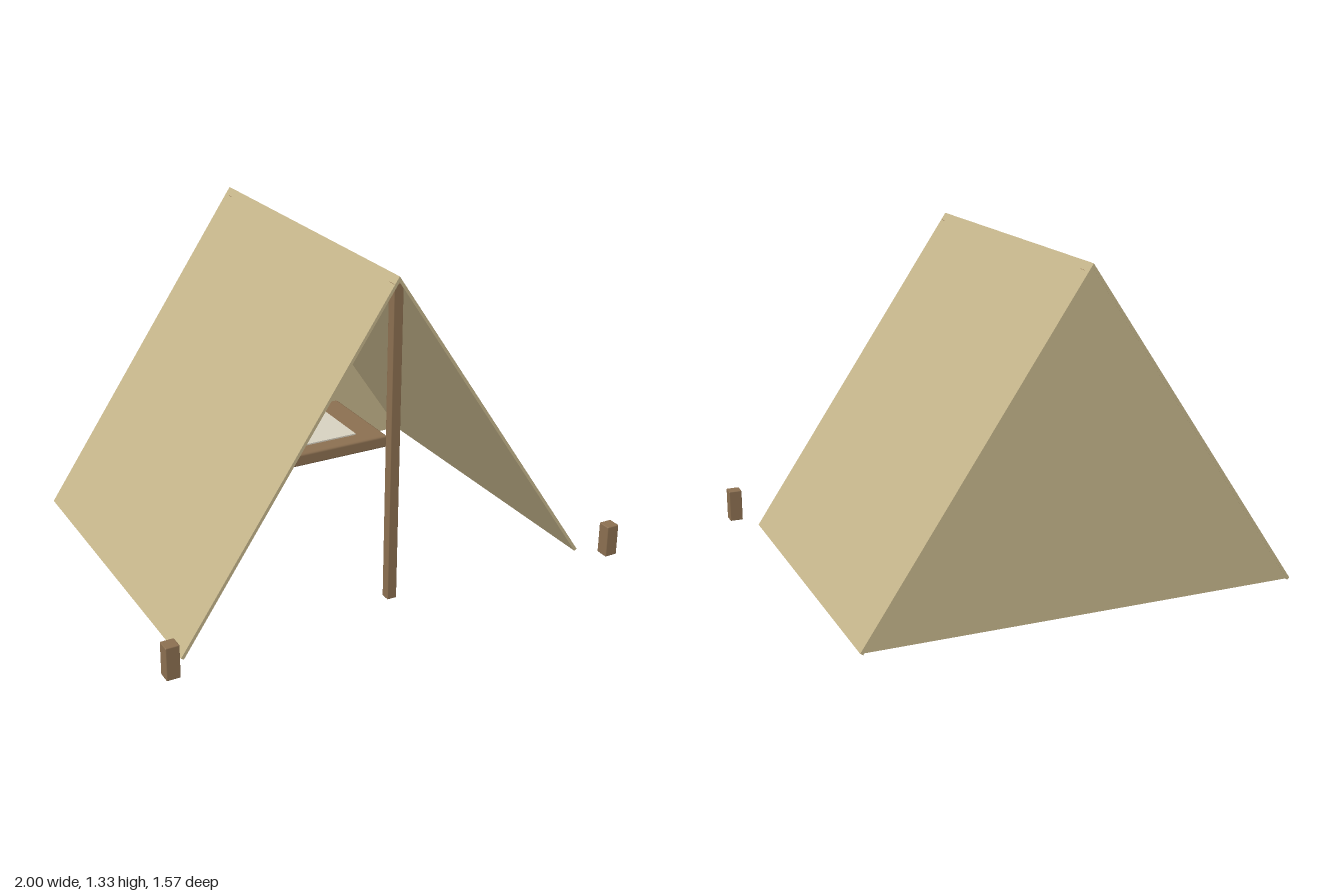
import * as THREE from 'three';
import { RoundedBoxGeometry } from 'three/addons/geometries/RoundedBoxGeometry.js';

const FRONT = 0.66, BACK = -0.785;

const canvas = new THREE.MeshStandardMaterial({ color: 0xc4b48a, side: THREE.DoubleSide });
const wood = new THREE.MeshStandardMaterial({ color: 0x8b6f50 });
const paper = new THREE.MeshStandardMaterial({ color: 0xd6d0c0 });

export function createModel() {
  const group = new THREE.Group();

  const add = (name, geometry, material, x = 0, y = 0, z = 0) => {
    const mesh = new THREE.Mesh(geometry, material);
    mesh.name = name;
    mesh.position.set(x, y, z);
    group.add(mesh);
  };

  // Extrudes an outline in the xy plane between two z values
  const sheet = (name, points, z0, z1) => {
    const shape = new THREE.Shape(points.map(([x, y]) => new THREE.Vector2(x, y)));
    add(name, new THREE.ExtrudeGeometry(shape, { depth: z1 - z0, bevelEnabled: false }), canvas, 0, 0, z0);
  };

  // Block with softened edges, placed by its base height
  const block = (name, w, h, d, bevel, x, y, z) =>
    add(name, new RoundedBoxGeometry(w, h, d, 1, bevel), wood, x, y + h / 2, z);

  // Sloping roof panels and ground stakes, mirrored left and right
  for (const [side, s] of [['left', 1], ['right', -1]]) {
    sheet(side + 'RoofPanel',
      [[0, 1.33], [s * 0.893, 0.007], [s * 0.882, 0], [0, 1.309]], BACK, FRONT);
    block(side + 'Stake', 0.055, 0.135, 0.055, 0.004, s * 0.9725, 0.015, 0.757);
  }

  // Closed triangular back wall
  sheet('backWall', [[-0.884, 0.006], [0.884, 0.006], [0, 1.318]], BACK + 0.001, BACK + 0.012);

  // Upright poles whose top corners just break through the roof
  block('frontPole', 0.04, 1.291, 0.04, 0.003, 0, 0.012, 0.637);
  block('backPole', 0.04, 1.291, 0.04, 0.003, 0, 0.012, -0.735);

  // Table top with a sheet of paper on it
  block('tableTop', 0.685, 0.055, 0.45, 0.01, 0, 0.335, -0.195);
  add('paperSheet', new THREE.BoxGeometry(0.45, 0.007, 0.31), paper, 0, 0.3925, -0.195);

  return group;
}
